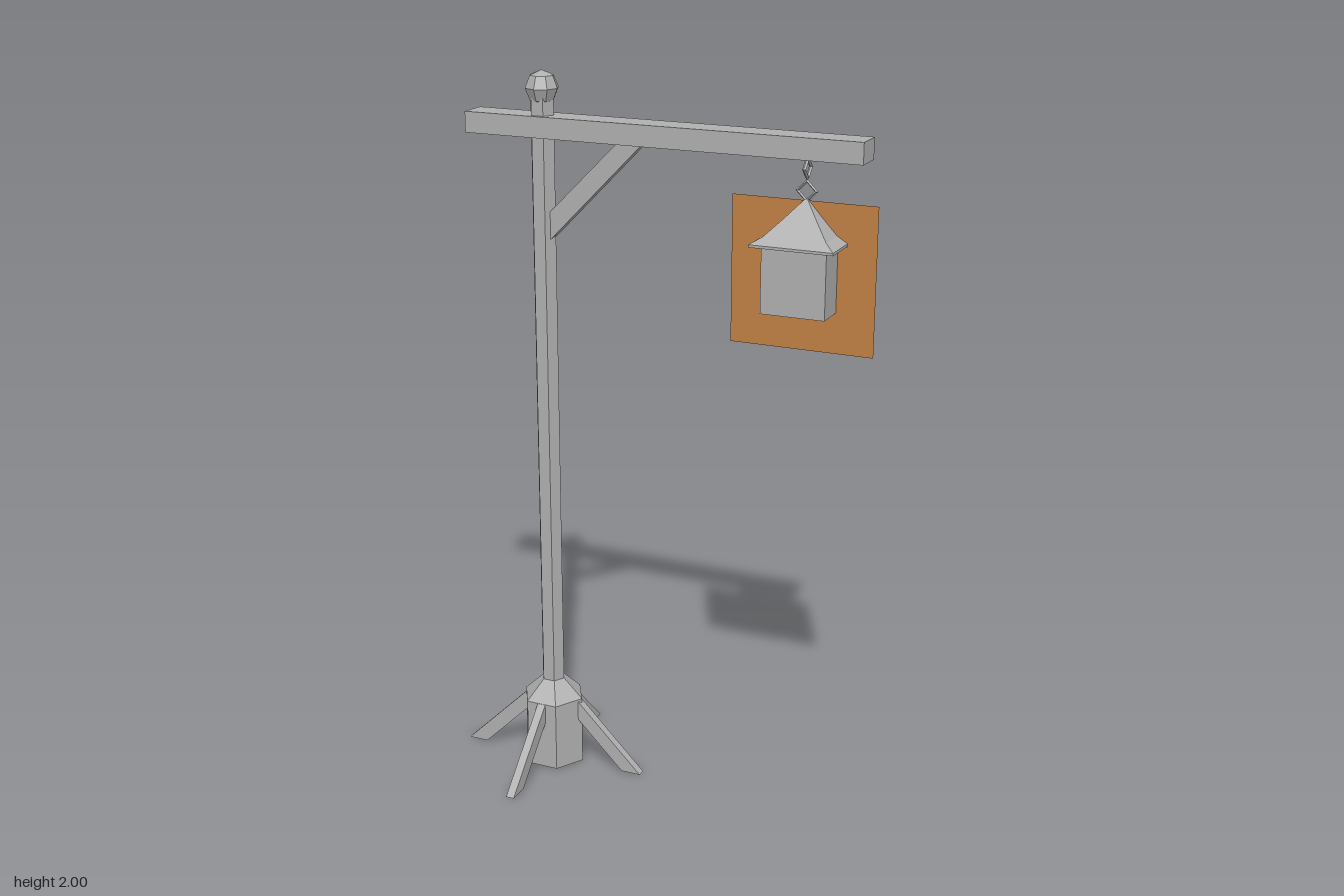
import * as THREE from 'three';

export function createModel() {
  const model = new THREE.Group();
  const grey = new THREE.MeshStandardMaterial({ color: 0xb0b0b0, flatShading: true });
  grey.name = 'grey';
  const amber = new THREE.MeshStandardMaterial({ color: 0xc08044, side: THREE.DoubleSide });
  amber.name = 'amber';

  const POST_X = -0.325, LAMP_X = 0.413;

  const add = (name, geometry, x = 0, y = 0, z = 0, parent = model, material = grey) => {
    const mesh = new THREE.Mesh(geometry, material);
    mesh.name = name;
    mesh.position.set(x, y, z);
    parent.add(mesh);
    return mesh;
  };
  // Prism or frustum between two heights; its first corner lies at angle start
  const frustum = (name, x, y0, y1, r0, r1, sides, start) =>
    add(name, new THREE.CylinderGeometry(r1, r0, y1 - y0, sides, 1, false, start), x, (y0 + y1) / 2);
  // Flat outline in x and y, extruded evenly about z = 0
  const slab = (points, depth) => {
    const shape = new THREE.Shape(points.map(([x, y]) => new THREE.Vector2(x, y)));
    return new THREE.ExtrudeGeometry(shape, { depth, bevelEnabled: false }).translate(0, 0, -depth / 2);
  };

  // Hexagonal base, collar and post
  frustum('base', POST_X, 0, 0.2, 0.091, 0.091, 6, Math.PI / 2);
  frustum('collar', POST_X, 0.2, 0.255, 0.091, 0.034, 6, Math.PI / 2);
  frustum('post', POST_X, 0.25, 1.93, 0.034, 0.034, 6, Math.PI / 2);
  add('finial', new THREE.SphereGeometry(0.046, 8, 4), POST_X, 1.954, 0);

  // Four splayed legs
  const legGeometry = slab([[0.28, 0], [0.078, 0.2], [0.078, 0.143], [0.222, 0]], 0.024);
  const legs = new THREE.Group();
  legs.name = 'legs';
  legs.position.x = POST_X;
  for (let i = 0; i < 4; i++) add('leg', legGeometry, 0, 0, 0, legs).rotation.y = i * Math.PI / 2;
  model.add(legs);

  // Crossbeam with diagonal brace
  add('crossbeam', new THREE.BoxGeometry(1.105, 0.056, 0.082), 0.018, 1.856, 0);
  add('brace', slab([[-0.3, 1.555], [-0.03, 1.83], [-0.1, 1.83], [-0.3, 1.63]], 0.03));

  // Two diamond chain links at right angles
  const link = new THREE.TorusGeometry(0.025, 0.005, 4, 4);
  add('upperLink', link, LAMP_X, 1.802, 0).rotation.y = Math.PI / 2;
  add('lowerLink', link, LAMP_X, 1.745, 0);

  // Lantern body and flared square roof
  add('lanternBody', new THREE.BoxGeometry(0.172, 0.18, 0.172), LAMP_X, 1.53, 0);
  const roof = [[0.111, 1.614], [0.111, 1.621], [0.083, 1.638], [0.045, 1.678], [0.003, 1.725]];
  for (let i = 0; i < roof.length - 1; i++) {
    const [r0, y0] = roof[i], [r1, y1] = roof[i + 1];
    frustum('lanternRoof', LAMP_X, y0, y1, r0 * Math.SQRT2, r1 * Math.SQRT2, 4, Math.PI / 4);
  }

  // Square glow panel through the lantern
  add('glowPanel', new THREE.PlaneGeometry(0.388, 0.388), 0.408, 1.527, 0, model, amber);

  return model;
}
